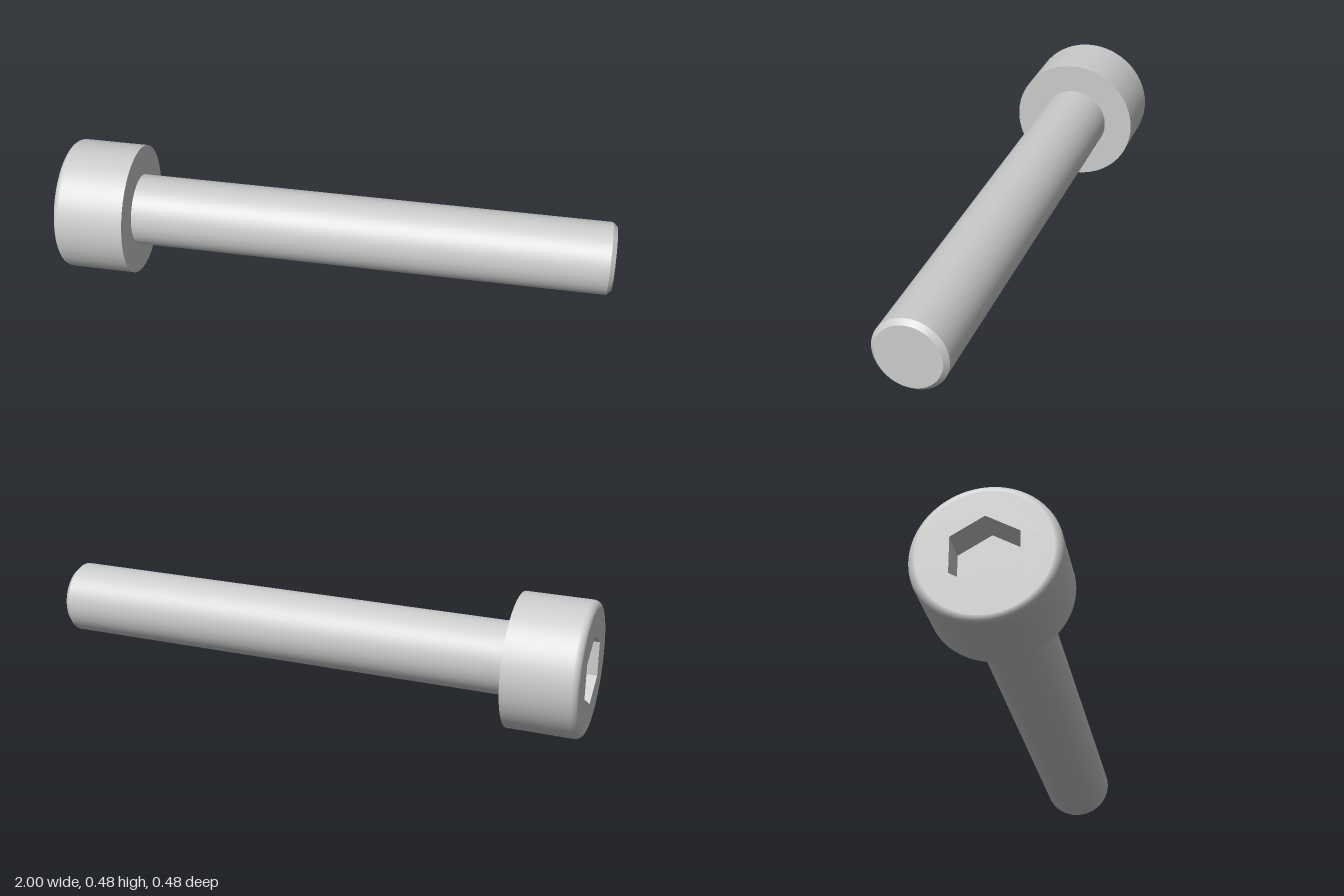
import * as THREE from 'three';

const HEAD_R = 0.239, SHANK_R = 0.13, TIP_R = 0.114;
const X0 = -1, X_HEAD = -0.739, X_CHAMFER = 0.983, X1 = 1;
const FILLET = 0.026, HEX_R = 0.1255, HEX_DEPTH = 0.113;
const SEGMENTS = 96;

const grey = new THREE.MeshStandardMaterial({ color: 0xcccccc });
const facet = new THREE.MeshStandardMaterial({ color: 0xcccccc, flatShading: true, side: THREE.DoubleSide });

function part(name, geometry, material = grey) {
  const mesh = new THREE.Mesh(geometry, material);
  mesh.name = name;
  return mesh;
}

// Surface of revolution about the x axis from [x, radius] pairs; each band keeps sharp ends
function band(name, profile) {
  const points = profile.map(([x, r]) => new THREE.Vector2(r, x));
  return part(name, new THREE.LatheGeometry(points, SEGMENTS).rotateZ(-Math.PI / 2));
}

export function createModel() {
  const screw = new THREE.Group();
  screw.name = 'socketHeadScrew';
  screw.position.y = HEAD_R;

  // Head: rounded outer rim, side wall and flat underside
  const head = new THREE.Group();
  head.name = 'head';
  const rim = [];
  for (let i = 0; i <= 10; i++) {
    const a = (i / 10) * Math.PI / 2;
    rim.push([X0 + FILLET * (1 - Math.sin(a)), HEAD_R - FILLET * (1 - Math.cos(a))]);
  }
  rim.reverse();
  // run from the end face out to the side wall
  const fillet = rim.map((_, i) => {
    const a = (i / 10) * Math.PI / 2;
    return [X0 + FILLET * (1 - Math.cos(a)), HEAD_R - FILLET * (1 - Math.sin(a))];
  });
  head.add(
    band('headRim', fillet),
    band('headSide', [[X0 + FILLET, HEAD_R], [X_HEAD, HEAD_R]]),
    band('headUnderside', [[X_HEAD, HEAD_R], [X_HEAD, SHANK_R]])
  );

  // End face with a hexagonal opening
  const face = new THREE.Shape().absarc(0, 0, HEAD_R - FILLET, 0, Math.PI * 2);
  const hex = [];
  for (let i = 0; i < 6; i++) {
    const a = Math.PI / 2 - (i * Math.PI) / 3;
    hex.push(new THREE.Vector2(HEX_R * Math.cos(a), HEX_R * Math.sin(a)));
  }
  face.holes.push(new THREE.Path(hex));
  head.add(part('headFace', new THREE.ShapeGeometry(face, SEGMENTS).rotateY(-Math.PI / 2).translate(X0, 0, 0)));

  // Hex socket walls and floor
  const walls = new THREE.CylinderGeometry(HEX_R, HEX_R, HEX_DEPTH, 6, 1, true, Math.PI / 2)
    .rotateZ(-Math.PI / 2).translate(X0 + HEX_DEPTH / 2, 0, 0);
  const floor = new THREE.CircleGeometry(HEX_R, 6, Math.PI / 2)
    .rotateY(-Math.PI / 2).translate(X0 + HEX_DEPTH, 0, 0);
  head.add(part('socketWalls', walls, facet), part('socketFloor', floor));

  // Shank with chamfered tip
  const shank = new THREE.Group();
  shank.name = 'shank';
  shank.add(
    band('shankSide', [[X_HEAD, SHANK_R], [X_CHAMFER, SHANK_R]]),
    band('tipChamfer', [[X_CHAMFER, SHANK_R], [X1, TIP_R]]),
    part('tipFace', new THREE.CircleGeometry(TIP_R, SEGMENTS).rotateY(Math.PI / 2).translate(X1, 0, 0))
  );

  screw.add(head, shank);
  const model = new THREE.Group();
  model.name = 'screw';
  model.add(screw);
  return model;
}
